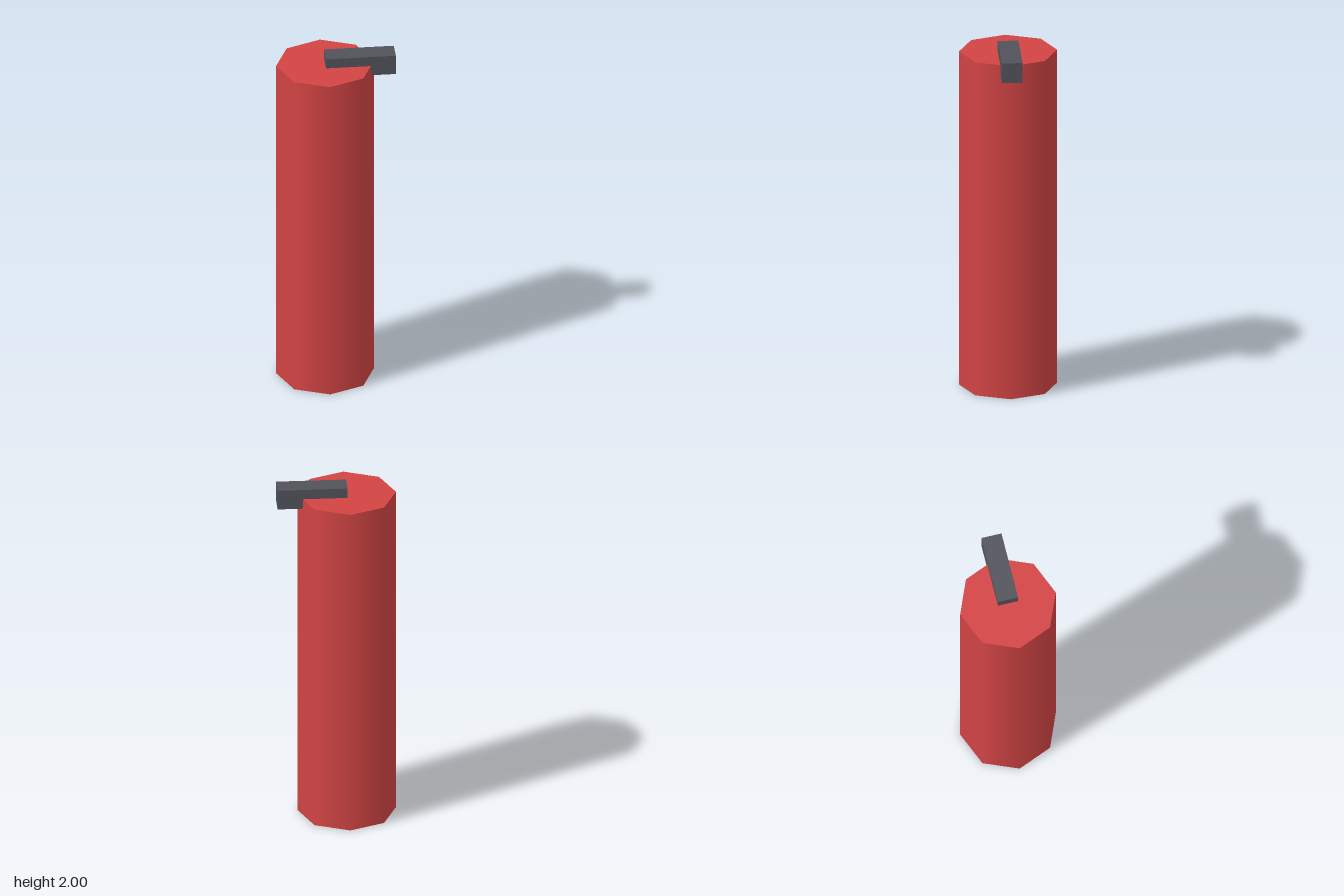
import * as THREE from 'three';

export function createModel() {
  const group = new THREE.Group();
  const red = new THREE.MeshStandardMaterial({ color: 0xd34444, side: THREE.DoubleSide });
  red.name = 'red';
  const darkGrey = new THREE.MeshStandardMaterial({ color: 0x52525b });
  darkGrey.name = 'darkGrey';

  const radius = 0.272, height = 1.943, centreX = -0.058;

  function add(name, geometry, material, x, y) {
    const mesh = new THREE.Mesh(geometry, material);
    mesh.name = name;
    mesh.position.set(x, y, 0);
    group.add(mesh);
  }

  // Smooth eight-sided tube, open at the bottom
  add('tubeWall', new THREE.CylinderGeometry(radius, radius, height, 8, 1, true), red, centreX, height / 2);

  // Flat lid on the tube
  add('tubeTop', new THREE.CircleGeometry(radius, 8).rotateX(-Math.PI / 2), red, centreX, height);

  // Bar sunk into the lid, from the centre out past the left side
  const barLength = 0.388, barSize = 0.115;
  add('topBar', new THREE.BoxGeometry(barLength, barSize, barSize), darkGrey,
    centreX + barLength / 2, 2 - barSize / 2);

  return group;
}
